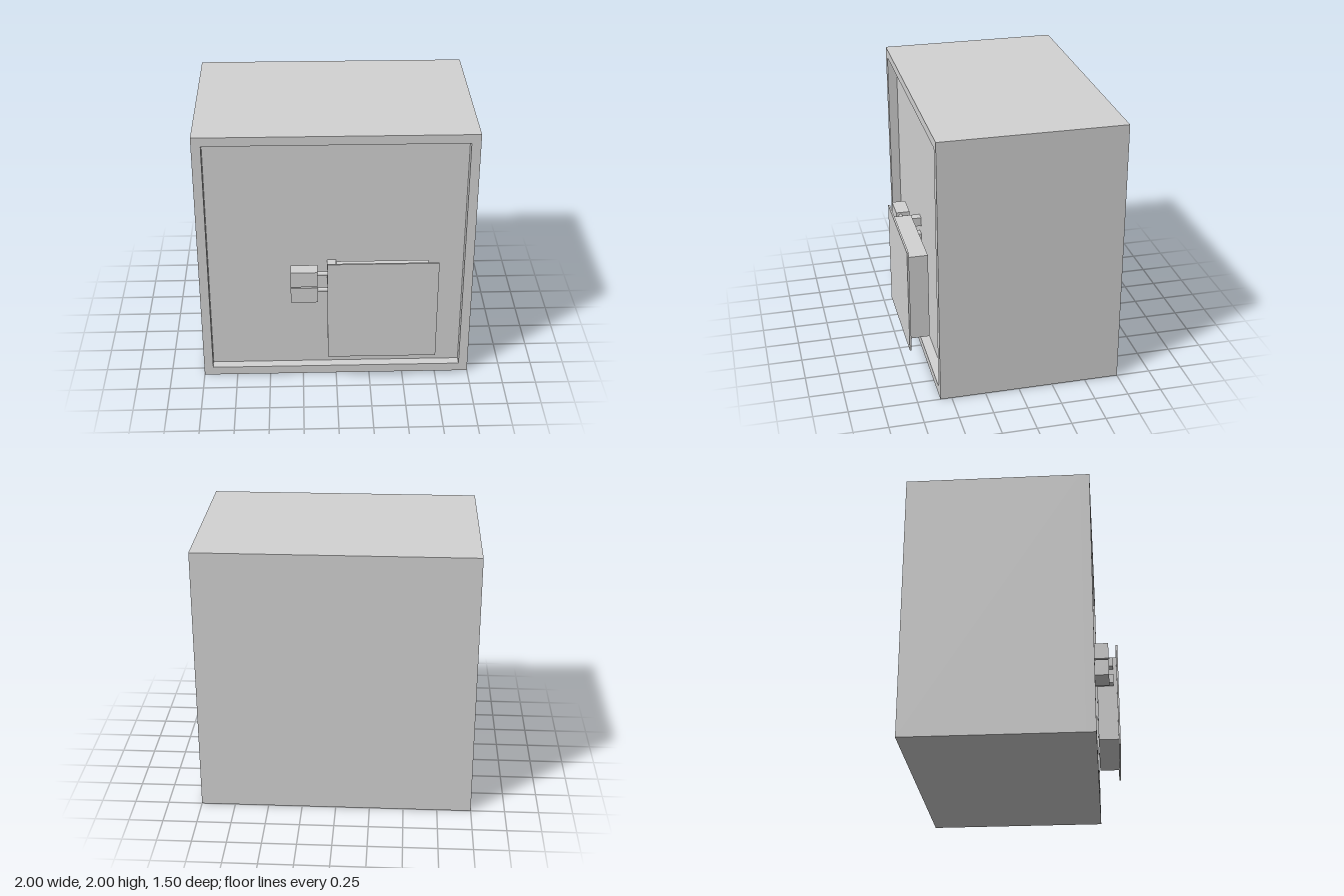
import * as THREE from 'three';

export function createModel() {
  const model = new THREE.Group();
  const lightGrey = new THREE.MeshStandardMaterial({ color: 0xd3d3d3 });
  lightGrey.name = 'lightGrey';

  const add = (name, geometry, parent = model) => {
    const mesh = new THREE.Mesh(geometry, lightGrey);
    mesh.name = name;
    parent.add(mesh);
    return mesh;
  };
  // Box given by its lower and upper corners
  const box = (name, [x0, y0, z0], [x1, y1, z1], parent) =>
    add(name, new THREE.BoxGeometry(x1 - x0, y1 - y0, z1 - z0), parent)
      .position.set((x0 + x1) / 2, (y0 + y1) / 2, (z0 + z1) / 2);

  // Cabinet: one hollow-fronted block, its shallow recess formed by a rim
  const back = -0.75, floor = 0.513, front = 0.583, rim = 0.067;
  const outline = (i) => [[-1 + i, i], [1 - i, i], [1 - i, 2 - i], [-1 + i, 2 - i]]
    .map(([x, y]) => new THREE.Vector2(x, y));
  const cabinet = new THREE.Group();
  cabinet.name = 'cabinet';
  model.add(cabinet);
  box('cabinetBody', [-1, 0, back], [1, 2, floor], cabinet);
  const frame = new THREE.Shape(outline(0));
  frame.holes.push(new THREE.Path(outline(rim)));
  add('frontRim', new THREE.ExtrudeGeometry(frame, { depth: front - floor, bevelEnabled: false }), cabinet)
    .position.z = floor;

  // Square box with a wider cover plate
  box('panelBox', [0, 0.333, 0.59], [0.667, 1, 0.737], model);
  box('coverPlate', [-0.067, 0.27, 0.737], [0.73, 1.07, 0.75], model);

  // Two latches: a handle, a round rod and a mounting block each
  [['upper', 0.933, 0.84], ['lower', 0.797, 0.708]].forEach(([side, y, base]) => {
    const latch = new THREE.Group();
    latch.name = side + 'Latch';
    model.add(latch);
    box('handle', [-0.333, base, 0.577], [-0.137, base + 0.122, 0.68], latch);
    box('mountingBlock', [-0.067, y - 0.034, floor], [0, y + 0.034, 0.713], latch);
    const rod = add('rod', new THREE.CylinderGeometry(0.015, 0.015, 0.07, 16), latch);
    rod.rotation.z = Math.PI / 2;
    rod.position.set(-0.102, y, 0.647);
  });

  return model;
}
